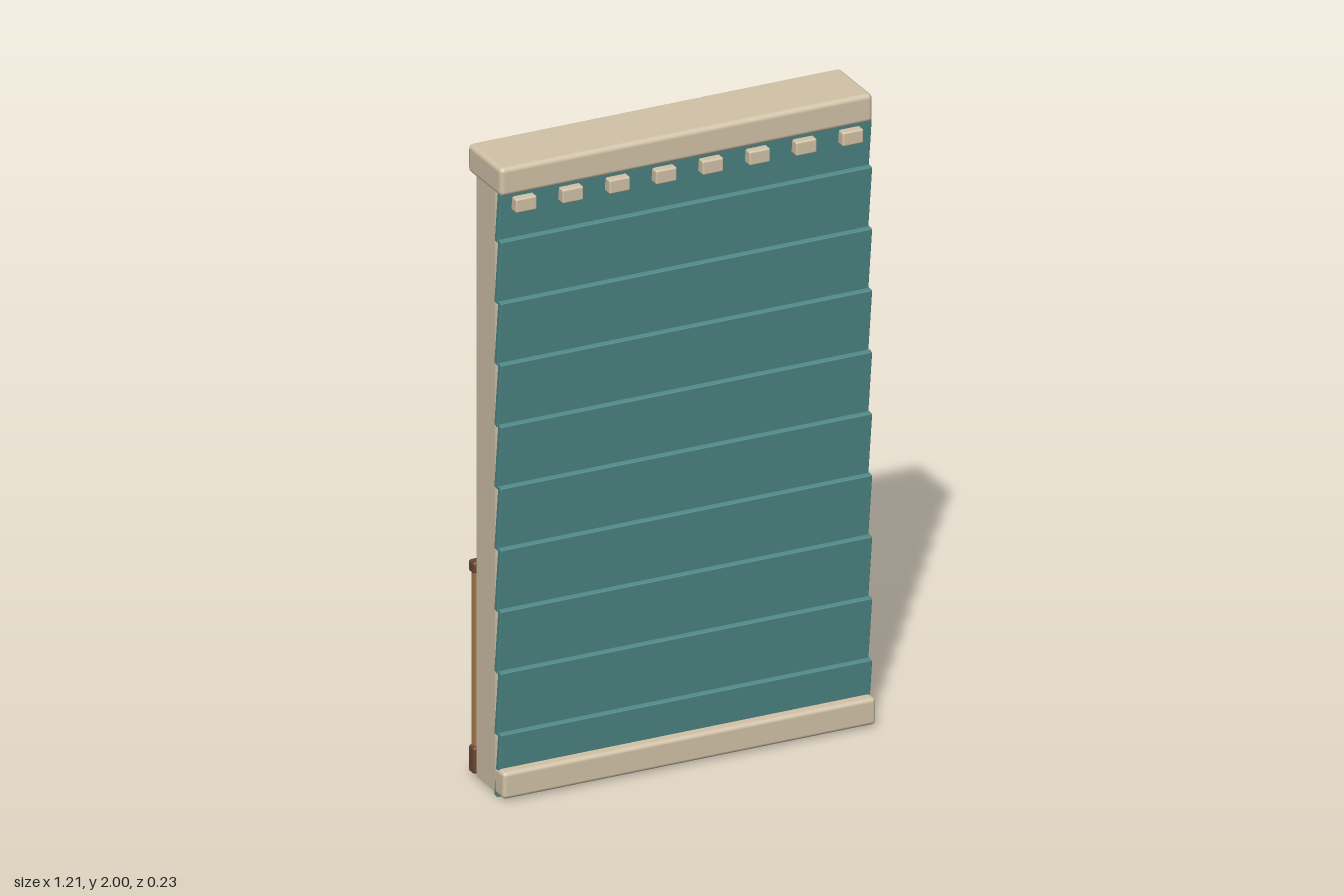
import * as THREE from 'three';
import { RoundedBoxGeometry } from 'three/addons/geometries/RoundedBoxGeometry.js';

const mat = (name, color) => {
  const m = new THREE.MeshStandardMaterial({ color });
  m.name = name;
  return m;
};

export function createModel() {
  const cream = mat('cream plaster', 0xd2c3a8);
  const teal = mat('teal siding', 0x4f8988);
  const wood = mat('panel wood', 0xa87c50);
  const darkWood = mat('dark wood trim', 0x6b4531);

  const model = new THREE.Group();
  model.name = 'wallSection';

  // Box given by its limits on each axis; radius > 0 rounds the edges
  const block = (name, material, [x0, x1], [y0, y1], [z0, z1], radius = 0) => {
    const size = [x1 - x0, y1 - y0, z1 - z0];
    const geometry = radius
      ? new RoundedBoxGeometry(...size, 3, radius)
      : new THREE.BoxGeometry(...size);
    const mesh = new THREE.Mesh(geometry, material);
    mesh.name = name;
    mesh.position.set((x0 + x1) / 2, (y0 + y1) / 2, (z0 + z1) / 2);
    model.add(mesh);
    return mesh;
  };

  const full = [-0.6, 0.6];
  const trim = [-0.603, 0.603];

  // Wall core, cornice and front foot trim
  block('wallCore', cream, full, [0.015, 1.95], [-0.066, 0.055]);
  block('cornice', cream, trim, [1.91, 2], [-0.117, 0.097], 0.015);
  block('footTrim', cream, trim, [0.012, 0.096], [0.055, 0.117], 0.012);

  // Lapped siding boards, each leaning outward at its top edge
  const pitch = 0.195;
  for (let i = 0; i < 10; i++) {
    const bottom = 0.003 + i * pitch;
    const top = Math.min(bottom + 0.207, 1.92);
    const board = block('sidingBoard', teal, [-0.601, 0.601], [bottom, top], [0.063, 0.083], 0.003);
    board.rotation.x = Math.atan2(0.026, 0.207);
  }

  // Dentil blocks under the cornice
  for (let i = 0; i < 8; i++) {
    const x = (i - 3.5) * 0.151;
    block('dentil', cream, [x - 0.034, x + 0.034], [1.86, 1.905], [0.065, 0.117], 0.006);
  }

  // Wainscot on the back
  block('wainscotSheet', wood, full, [0.105, 0.655], [-0.097, -0.079]);
  for (let i = 0; i < 4; i++) {
    const x = (i - 1.5) * 0.297;
    block('raisedPanel', wood, [x - 0.122, x + 0.122], [0.16, 0.53], [-0.105, -0.085], 0.006);
  }
  block('chairRail', darkWood, trim, [0.648, 0.686], [-0.114, -0.077], 0.009);
  block('baseboard', darkWood, trim, [0.015, 0.1], [-0.114, -0.077], 0.009);

  return model;
}
